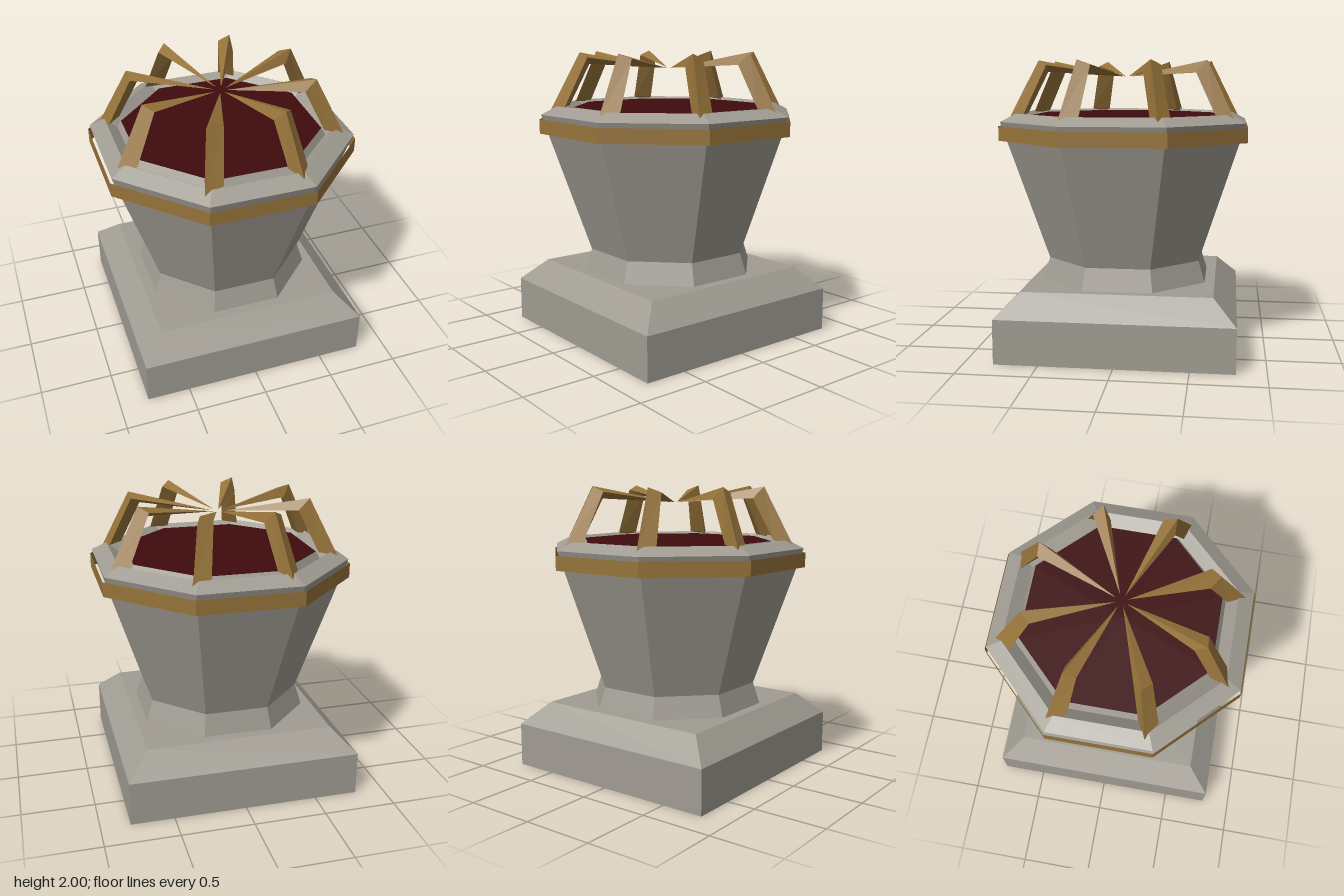
import * as THREE from 'three';

const stone = new THREE.MeshStandardMaterial({ color: 0xa09c93, flatShading: true });
stone.name = 'stone';
const bronze = new THREE.MeshStandardMaterial({ color: 0x96733a, flatShading: true, side: THREE.DoubleSide });
bronze.name = 'bronze';
const darkRed = new THREE.MeshStandardMaterial({ color: 0x3e0b0d, flatShading: true });
darkRed.name = 'dark red';

// Regular prism turned from a profile of [apothem, y]; one flat side faces +z
function turned(name, sides, profile, material) {
  const k = 1 / Math.cos(Math.PI / sides);
  const points = profile.map(([a, y]) => new THREE.Vector2(a * k, y));
  const mesh = new THREE.Mesh(new THREE.LatheGeometry(points, sides, Math.PI / sides), material);
  mesh.name = name;
  return mesh;
}

// Three-sided bent claw: triangular foot, triangular elbow, pointed tip.
// Points are [tangent, y, radius], for a claw pointing along +z.
function clawGeometry() {
  const foot = [[-0.036, 1.61, 0.837], [0.072, 1.635, 0.757], [-0.05, 1.635, 0.705]];
  const elbow = [[-0.02, 2.0, 0.632], [0.06, 1.967, 0.595], [-0.05, 1.92, 0.56]];
  const tip = [0, 1.89, 0.038];
  const tris = [];
  for (let i = 0; i < 3; i++) {
    const j = (i + 1) % 3;
    tris.push(foot[i], foot[j], elbow[j], foot[i], elbow[j], elbow[i]);
    tris.push(elbow[i], elbow[j], tip);
  }
  tris.push(foot[0], foot[2], foot[1]);
  const geometry = new THREE.BufferGeometry();
  geometry.setAttribute('position', new THREE.Float32BufferAttribute(tris.flat(), 3));
  geometry.computeVertexNormals();
  return geometry;
}

export function createModel() {
  const model = new THREE.Group();
  model.name = 'pedestalBasin';

  // Square plinth with chamfered top
  model.add(turned('plinth', 4, [[0, 0], [0.8, 0], [0.8, 0.305], [0.645, 0.46], [0, 0.46]], stone));

  // Octagonal waisted body
  model.add(turned('body', 8, [[0.575, 0.46], [0.53, 0.61], [0.842, 1.58]], stone));

  // Bevelled rim with a groove round the basin
  model.add(turned('rim', 8, [[0.842, 1.58], [0.74, 1.635], [0.662, 1.575], [0.635, 1.625]], stone));

  // Liquid surface
  model.add(turned('liquid', 8, [[0.635, 1.625], [0, 1.625]], darkRed));

  // Thin band standing just clear of the body
  model.add(turned('band', 8, [[0.853, 1.45], [0.853, 1.55]], bronze));

  // Eight claws on the rim corners
  const geometry = clawGeometry();
  const claws = new THREE.Group();
  claws.name = 'claws';
  for (let i = 0; i < 8; i++) {
    const claw = new THREE.Mesh(geometry, bronze);
    claw.name = 'claw';
    claw.rotation.y = Math.PI / 8 + (i * Math.PI) / 4;
    claws.add(claw);
  }
  model.add(claws);

  return model;
}
